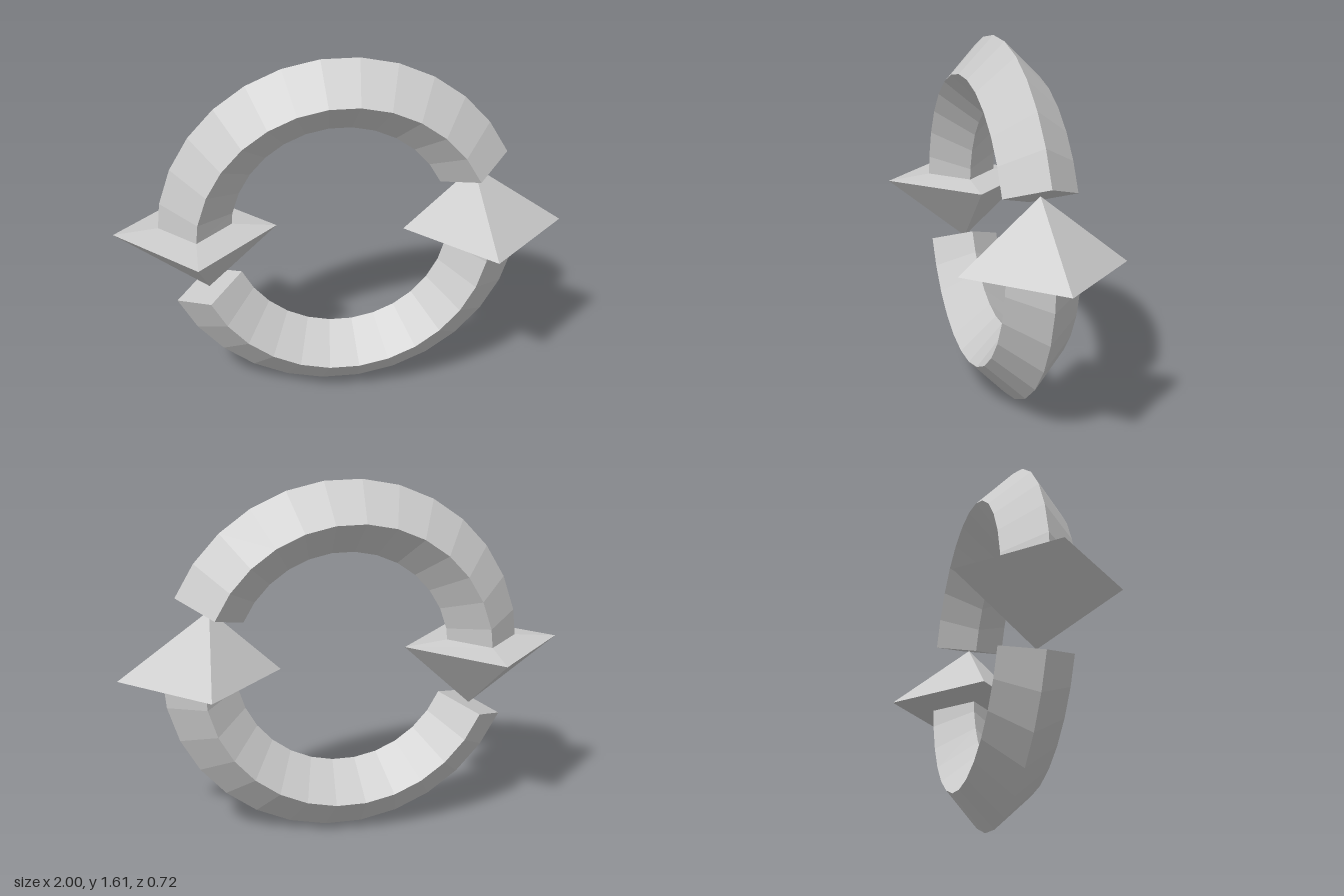
import * as THREE from 'three';

const MID = 0.648, HALF = 0.161, CENTER_Y = 0.805;
const material = new THREE.MeshStandardMaterial({ color: 0xcccccc, flatShading: true });

// Diamond cross-section: centre (x, y), half-diagonal vector (ux, uy) and half-depth along z
function diamond(x, y, ux, uy, depth) {
  return [
    [x + ux, y + uy, 0], [x, y, depth],
    [x - ux, y - uy, 0], [x, y, -depth],
  ];
}

// Joins diamond sections into a closed, faceted solid; a tip point may end it
function loft(name, sections, tip) {
  const pos = [];
  const tri = (...corners) => corners.forEach((c) => pos.push(...c));
  const first = sections[0], last = sections[sections.length - 1];
  for (let i = 0; i < sections.length - 1; i++) {
    const a = sections[i], b = sections[i + 1];
    for (let k = 0; k < 4; k++) {
      const n = (k + 1) % 4;
      tri(a[k], b[k], a[n]);
      tri(a[n], b[k], b[n]);
    }
  }
  tri(first[0], first[1], first[2]);
  tri(first[0], first[2], first[3]);
  if (tip) {
    for (let k = 0; k < 4; k++) tri(last[k], tip, last[(k + 1) % 4]);
  } else {
    tri(last[0], last[2], last[1]);
    tri(last[0], last[3], last[2]);
  }
  const geometry = new THREE.BufferGeometry();
  geometry.setAttribute('position', new THREE.Float32BufferAttribute(pos, 3));
  geometry.computeVertexNormals();
  const mesh = new THREE.Mesh(geometry, material);
  mesh.name = name;
  return mesh;
}

// One curved arrow: a diamond-section arc ending in a pyramid head
function curvedArrow(name) {
  const arrow = new THREE.Group();
  arrow.name = name;

  // Arc in 12 degree steps, finishing flat against the head
  const sections = [];
  for (let deg = 24; deg <= 168; deg += 12) {
    const t = THREE.MathUtils.degToRad(deg);
    const c = Math.cos(t), s = Math.sin(t);
    sections.push(diamond(MID * c, MID * s, HALF * c, HALF * s, HALF));
  }
  const neck = diamond(-0.642, 0.049, -HALF, 0, HALF);
  sections.push(neck);
  arrow.add(loft('arrowShaft', sections));

  // Head: shallow flare out to the wide diamond, then in to the point
  const rim = diamond(-0.642, 0.028, -0.358, 0, 0.36);
  const t = THREE.MathUtils.degToRad(204);
  arrow.add(loft('arrowHead', [neck, rim], [MID * Math.cos(t), MID * Math.sin(t), 0]));
  return arrow;
}

export function createModel() {
  const model = new THREE.Group();
  model.name = 'circularArrows';
  // Two identical arrows chasing each other, half a turn apart
  ['upperArrow', 'lowerArrow'].forEach((name, i) => {
    const arrow = curvedArrow(name);
    arrow.position.y = CENTER_Y;
    arrow.rotation.z = i * Math.PI;
    model.add(arrow);
  });
  return model;
}
